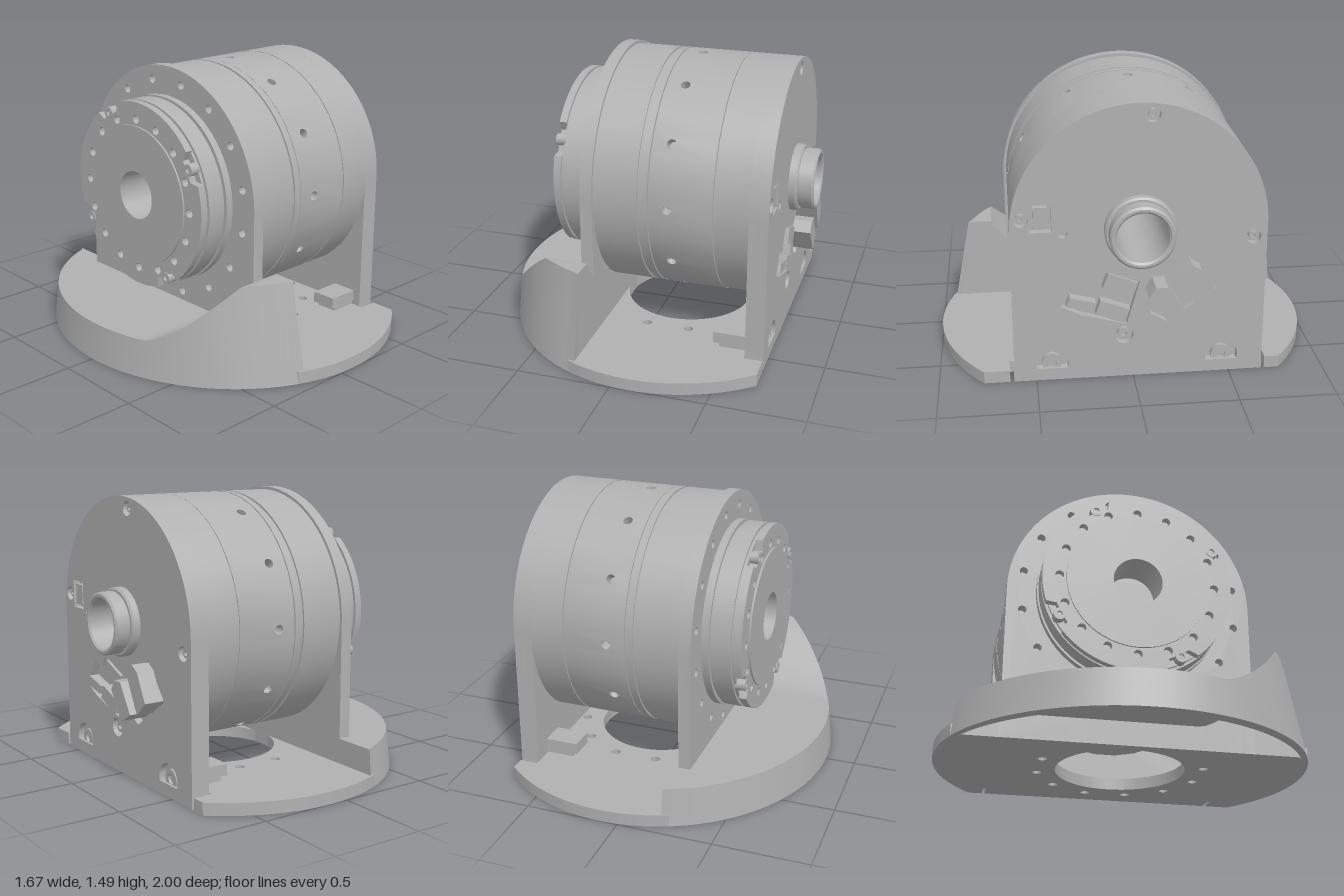
import * as THREE from 'three';
import { mergeGeometries, toCreasedNormals } from 'three/addons/utils/BufferGeometryUtils.js';

const CY = 0.825, CZ = -0.03; // main axis runs along x through this point

export function createModel() {
  const root = new THREE.Group();
  const metal = new THREE.MeshStandardMaterial({ color: 0xb0b0b0 });
  metal.name = 'machined grey';

  const add = (name, geo) => {
    const m = new THREE.Mesh(geo, metal);
    m.name = name;
    root.add(m);
    return m;
  };
  // Section points are given as [z, y]; local shape coordinates run along -z
  const local = ([z, y]) => new THREE.Vector2(CZ - z, y);
  const poly = pts => new THREE.Shape(pts.map(local));
  const disc = (a, y, r) => new THREE.Shape().absarc(a, y, r, 0, Math.PI * 2, false);
  const hole = (z, y, r) => disc(CZ - z, y, r);
  // Extrude a section from x0 to x1
  const slab = (name, shape, x0, x1, holes = []) => {
    shape.holes.push(...holes);
    const g = new THREE.ExtrudeGeometry(shape, { depth: x1 - x0, bevelEnabled: false, curveSegments: 32 });
    g.rotateY(Math.PI / 2).translate(x0, 0, CZ);
    return add(name, toCreasedNormals(g, 0.4));
  };
  // Turned part from [x, r] profile points
  const turned = (name, pts, y = CY, z = CZ, seg = 72) => {
    const g = new THREE.LatheGeometry(pts.map(([x, r]) => new THREE.Vector2(r, x)), seg);
    g.rotateZ(-Math.PI / 2).translate(0, y, z);
    return add(name, toCreasedNormals(g, 0.4));
  };
  const arch = r => {
    const s = new THREE.Shape();
    s.moveTo(-r, 0).lineTo(r, 0).lineTo(r, CY).absarc(0, CY, r, 0, Math.PI, false);
    return s;
  };
  const ring = (n, R, r, off = 0) => Array.from({ length: n }, (_, i) => {
    const t = off + i / n * Math.PI * 2;
    return disc(R * Math.cos(t), CY + R * Math.sin(t), r);
  });
  const bore = () => disc(0, CY, 0.13);

  // Motor body with grooves and a central bore
  turned('motorBody', [[-0.45, 0.13], [-0.45, 0.485], [-0.435, 0.485], [-0.435, 0.5], [-0.335, 0.5], [-0.335, 0.485],
    [-0.32, 0.485], [-0.32, 0.505], [-0.22, 0.505], [-0.22, 0.645], [0.02, 0.645], [0.02, 0.635], [0.035, 0.635],
    [0.035, 0.645], [0.075, 0.645], [0.075, 0.58], [0.415, 0.58], [0.415, 0.625], [0.46, 0.625], [0.46, 0.13], [-0.45, 0.13]]);

  // Band of bent panels, every third one pierced by a radial hole
  const R = 0.645, step = Math.PI / 18, half = R * step / 2, panels = [];
  for (let i = 0; i < 36; i++) {
    const s = new THREE.Shape();
    s.moveTo(-half, 0.08).lineTo(half, 0.08).lineTo(half, 0.415).lineTo(-half, 0.415).closePath();
    if (i % 3 === 0) s.holes.push(disc(0, 0.18, 0.025));
    const g = new THREE.ExtrudeGeometry(s, { depth: 0.06, bevelEnabled: false, curveSegments: 8 });
    const p = g.attributes.position;
    for (let k = 0; k < p.count; k++) {
      const t = i * step + p.getX(k) / R, r = R - 0.06 + p.getZ(k);
      p.setXYZ(k, p.getY(k), CY + r * Math.cos(t), CZ + r * Math.sin(t));
    }
    panels.push(g);
  }
  const band = mergeGeometries(panels);
  band.computeVertexNormals();
  add('ventBand', toCreasedNormals(band, 0.4));

  // Rear housing with its underside cut flat
  const cut = Math.asin(0.525 / R);
  slab('rearHousing', new THREE.Shape().absarc(0, CY, R, -cut, Math.PI + cut, false), 0.42, 0.6, [bore()]);

  // End plate: plain back layer and a front layer with pockets and counterbores
  const leftPocket = [[0.37, 0.415], [0.29, 0.56], [0.21, 0.54], [0.17, 0.605], [-0.03, 0.535], [0.035, 0.3], [0.27, 0.365]];
  const rightPocket = [[-0.045, 0.525], [-0.28, 0.665], [-0.43, 0.48], [-0.17, 0.305], [-0.09, 0.35]];
  const rect = (z, y, w, h) => [[z - w, y - h], [z + w, y - h], [z + w, y + h], [z - w, y + h]];
  const screws = [[-0.09, 1.41, 0.038], [0.56, 0.895, 0.038], [-0.605, 0.755, 0.038], [0.05, 0.24, 0.05],
    [0.42, 0.09, 0.085], [-0.46, 0.09, 0.085]];
  slab('endPlateBack', arch(R), 0.6, 0.66, [bore()]);
  slab('endPlateFront', arch(R), 0.66, 0.7, [bore(), hole(0.355, 0.815, 0.025), poly(leftPocket), poly(rightPocket),
    poly(rect(0.463, 0.9, 0.055, 0.075)), ...screws.map(s => hole(...s))]);
  for (const [z, y, r] of screws)
    turned('plateScrew', [[0.65, r * 0.6], [0.685, r * 0.6], [0.685, r * 0.3], [0.67, r * 0.3], [0.67, 0]], y, z, 20);
  slab('smallSocket', poly(rect(0.463, 0.9, 0.035, 0.055)), 0.65, 0.695);

  // Connectors in the pockets
  for (const pts of [
    [[0.13, 0.595], [-0.02, 0.535], [0.01, 0.455], [0.16, 0.51]],
    [[0.17, 0.445], [0.02, 0.39], [0.05, 0.315], [0.195, 0.37]],
    [[0.325, 0.47], [0.195, 0.435], [0.215, 0.39], [0.345, 0.42]]]) slab('flatConnector', poly(pts), 0.65, 0.715);
  for (const pts of [
    [[-0.065, 0.485], [-0.1, 0.54], [-0.16, 0.54], [-0.255, 0.39], [-0.17, 0.34]],
    [[-0.22, 0.605], [-0.28, 0.655], [-0.33, 0.625], [-0.405, 0.48], [-0.325, 0.405]]]) slab('tallConnector', poly(pts), 0.65, 0.795);

  // Hollow shaft boss
  turned('shaftBoss', [[0.69, 0.13], [0.69, 0.18], [0.735, 0.18], [0.745, 0.17], [0.745, 0.155], [0.755, 0.155], [0.755, 0.163],
    [0.82, 0.163], [0.83, 0.153], [0.83, 0.14], [0.82, 0.13], [0.69, 0.13]]);

  // Upright mounting plate with a ring of bolt holes
  slab('mountingPlate', arch(0.66), -0.28, -0.215, ring(16, 0.585, 0.022, Math.PI / 16));

  // Output flange: bored disc with four rim notches holding screws
  const outline = [], notch = [-119, -29, 61, 151];
  for (let d = -180; d < 180; d += 3) {
    const inNotch = notch.some(n => Math.abs(n - d) <= 8);
    const r = inNotch ? 0.45 : 0.5, t = d * Math.PI / 180;
    outline.push(new THREE.Vector2(r * Math.cos(t), CY + r * Math.sin(t)));
  }
  slab('outputFlange', new THREE.Shape(outline), -0.49, -0.45, [bore(), ...ring(16, 0.41, 0.023)]);
  turned('flangeLip', [[-0.5, 0.13], [-0.5, 0.375], [-0.485, 0.375], [-0.485, 0.13], [-0.5, 0.13]]);
  for (const n of notch) {
    const t = n * Math.PI / 180;
    turned('flangeScrew', [[-0.48, 0], [-0.48, 0.015], [-0.495, 0.015], [-0.495, 0.032], [-0.44, 0.032]],
      CY + 0.462 * Math.sin(t), CZ - 0.462 * Math.cos(t), 20);
  }

  // Thin base plate: clipped oval with a large opening, bolt holes and two slots
  const oval = t => new THREE.Vector2(0.1 + 0.94 * Math.cos(t), Math.sin(t));
  const edge = [];
  for (let i = 0; i <= 20; i++) edge.push(oval(0.878 + i / 20 * 1.074));
  for (let i = 0; i <= 20; i++) edge.push(oval(-1.952 + i / 20 * 1.074));
  for (const [x, y] of [[0.705, -0.637], [0.6, -0.637], [0.6, -0.617], [0.7, -0.617],
    [0.7, 0.677], [0.6, 0.677], [0.6, 0.693], [0.7, 0.693]]) edge.push(new THREE.Vector2(Math.min(x, 0.7), y));
  const base = new THREE.Shape(edge);
  base.holes.push(disc(0.13, 0, 0.35));
  for (let i = 0; i < 12; i++) {
    const t = (i + 0.5) / 12 * Math.PI * 2;
    const x = 0.13 + 0.45 * Math.cos(t);
    if (x > -0.18) base.holes.push(disc(x, 0.45 * Math.sin(t), 0.025));
  }
  const baseGeo = new THREE.ExtrudeGeometry(base, { depth: 0.065, bevelEnabled: false, curveSegments: 24 });
  baseGeo.rotateX(-Math.PI / 2);
  add('basePlate', toCreasedNormals(baseGeo, 0.4));

  // Raised hollow rim, swept through z, climbing to a wing on the left side
  const rows = 56, t0 = Math.acos(-0.315 / 0.94), xi = -0.215, pos = [], idx = [];
  for (let i = 0; i <= rows; i++) {
    const t = t0 + (i / rows) * 2 * (Math.PI - t0);
    const z = Math.sin(t), xr = Math.min(0.1 + 0.94 * Math.cos(t), xi);
    const u = THREE.MathUtils.clamp((z - 0.35) / 0.45, 0, 1);
    const h = 0.2 + 0.32 * Math.pow(u, 1.4);
    const lean = 1 - 0.02 - 0.27 * (h - 0.2);
    const xin = Math.min(xi, xr + 0.07), xb = Math.min(xi, Math.max(xin, -0.28));
    const loop = [[xr, 0, 1], [Math.min(xr + 0.02, xi), h, lean], [xi, h, lean], [xi, 0, 1],
      [xb, 0, 1], [xb, h - 0.07, lean], [xin, h - 0.07, lean], [xin, 0, 1]];
    for (const [x, y, s] of loop) pos.push(x, y, z * s);
    if (i < rows) for (let k = 0; k < 8; k++) {
      const a = i * 8 + k, b = i * 8 + (k + 1) % 8;
      idx.push(a, b, a + 8, b, b + 8, a + 8);
    }
  }
  const rim = new THREE.BufferGeometry();
  rim.setAttribute('position', new THREE.Float32BufferAttribute(pos, 3));
  rim.setIndex(idx);
  add('raisedRim', toCreasedNormals(rim, 0.5));

  // Foot blocks inside the end plate
  for (const z of [-0.5, 0.5]) {
    const g = new THREE.BoxGeometry(0.18, 0.06, 0.14);
    g.translate(0.51, 0.12, z);
    add('footBlock', g);
    const f = new THREE.BoxGeometry(0.15, 0.04, 0.12);
    f.translate(0.525, 0.08, z);
    add('footBlockBase', f);
  }
  return root;
}
